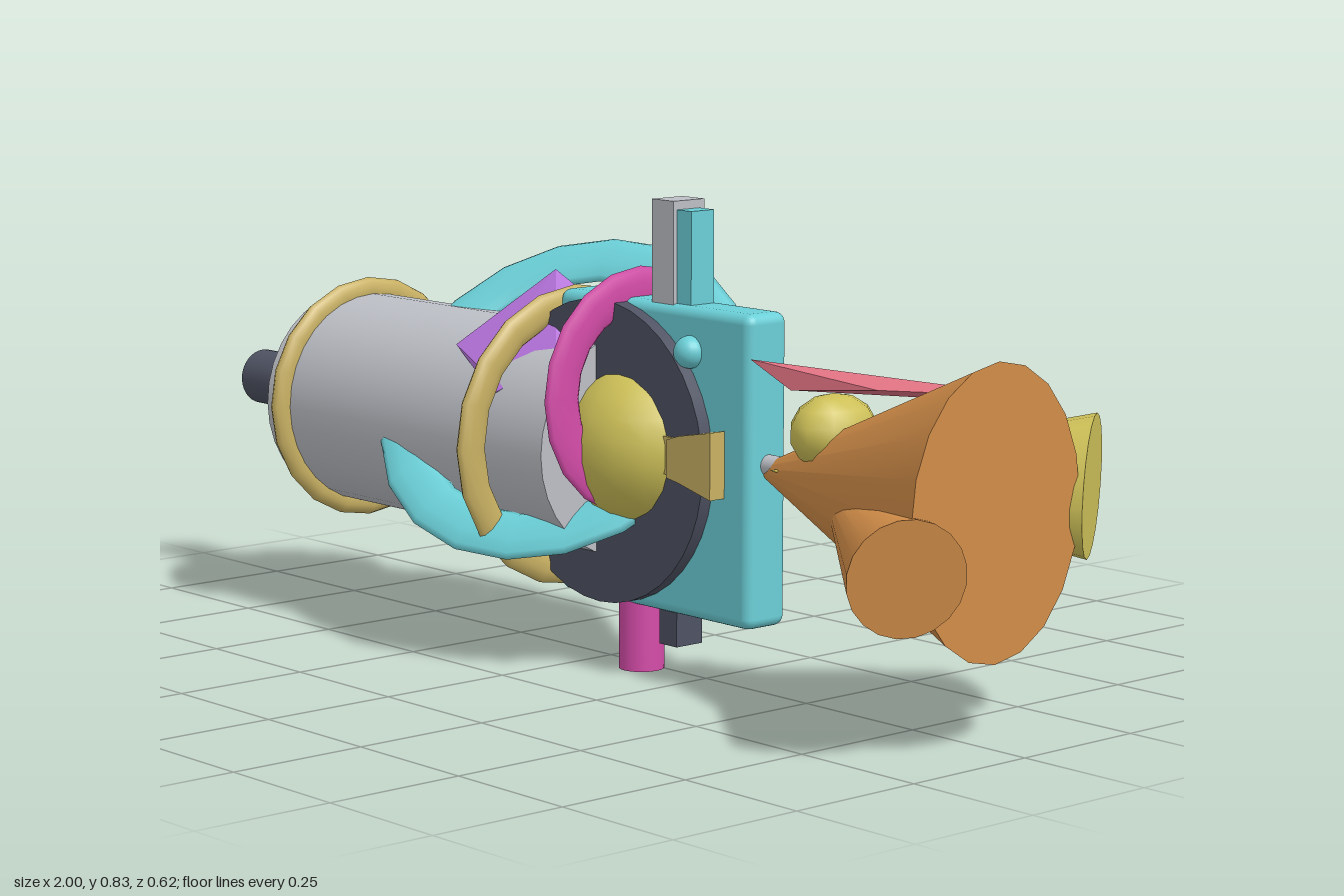
import * as THREE from 'three';
import { RoundedBoxGeometry } from 'three/addons/geometries/RoundedBoxGeometry.js';
import { ConvexGeometry } from 'three/addons/geometries/ConvexGeometry.js';

const V = (x, y, z) => new THREE.Vector3(x, y, z);
const AXIS_Y = 0.39, AXIS_Z = 0.025;

function mat(name, color, flat = false) {
  const m = new THREE.MeshStandardMaterial({ color });
  m.name = name;
  m.flatShading = flat;
  return m;
}

export function createModel() {
  const model = new THREE.Group();
  const teal = mat('teal', 0x6bcfd7);
  const grey = mat('light grey', 0xbcbfc5);
  const dark = mat('slate', 0x4e5262);
  const gold = mat('gold', 0xc9b163);
  const yellow = mat('yellow', 0xcdc058);
  const orange = mat('orange', 0xd08c48);
  const purple = mat('purple', 0xb673dc, true);
  const pink = mat('magenta', 0xd44ca8);
  const salmon = mat('salmon', 0xdc7080, true);

  function add(name, geometry, material, x = 0, y = 0, z = 0) {
    const mesh = new THREE.Mesh(geometry, material);
    mesh.name = name;
    mesh.position.set(x, y, z);
    model.add(mesh);
    return mesh;
  }

  // Box given by its lower and upper corners
  function box(name, material, a, b) {
    return add(name, new THREE.BoxGeometry(b[0] - a[0], b[1] - a[1], b[2] - a[2]), material,
      (a[0] + b[0]) / 2, (a[1] + b[1]) / 2, (a[2] + b[2]) / 2);
  }

  // Cylinder lying along x
  function rod(name, material, x0, x1, r, y = AXIS_Y) {
    const g = new THREE.CylinderGeometry(r, r, x1 - x0, 32).rotateZ(-Math.PI / 2);
    return add(name, g, material, (x0 + x1) / 2, y, AXIS_Z);
  }

  // Flattened ring: outer radius, half band width, half thickness along its axis
  function ring(name, material, centre, outer, band, thin, u = V(0, 1, 0), v = V(0, 0, 1)) {
    const g = new THREE.TorusGeometry(outer - band, band, 10, 20);
    g.scale(1, 1, thin / band);
    u.normalize();
    const n = u.clone().cross(v).normalize();
    const w = n.clone().cross(u);
    g.applyMatrix4(new THREE.Matrix4().makeBasis(u, w, n));
    return add(name, g, material, ...centre);
  }

  // Cone from its tip to the centre of its wide end
  function horn(name, material, tip, end, radius, squash = 1) {
    const dir = end.clone().sub(tip);
    const g = new THREE.ConeGeometry(radius, dir.length(), 20).rotateX(Math.PI);
    g.scale(1, 1, squash);
    const mesh = add(name, g, material);
    mesh.quaternion.setFromUnitVectors(V(0, 1, 0), dir.normalize());
    mesh.position.copy(tip).add(end).multiplyScalar(0.5);
    return mesh;
  }

  function ball(name, material, centre, radii, segments = 20) {
    const g = new THREE.SphereGeometry(1, segments, Math.round(segments * 0.7));
    g.scale(...radii);
    return add(name, g, material, ...centre);
  }

  // Main barrel and its shaft
  rod('shaft', dark, -1, -0.7, 0.052);
  rod('barrel', grey, -0.72, 0.07, 0.195);
  box('shaftFin', gold, [-0.87, 0.305, 0.013], [-0.785, 0.48, 0.037]);
  box('shaftFinRoot', gold, [-0.8, 0.315, 0.016], [-0.715, 0.465, 0.034]);

  // Rings around the barrel
  ring('rearRing', gold, [-0.665, AXIS_Y, AXIS_Z], 0.225, 0.025, 0.016);
  ring('frontRing', gold, [-0.068, AXIS_Y, AXIS_Z], 0.268, 0.03, 0.015);
  ring('pinkRing', pink, [0.108, 0.49, 0.027], 0.217, 0.038, 0.01);
  ring('tiltedRing', teal, [-0.11, 0.455, 0.02], 0.348, 0.048, 0.014, V(0, 1, -1), V(-0.34, 0.06, 0.07));

  // Faceted purple crest over the barrel
  const crest = [V(-0.12, 0.68, 0.025), V(-0.29, 0.58, 0.02), V(-0.01, 0.62, 0.01), V(0.02, 0.55, 0.01)];
  for (const s of [1, -1]) {
    crest.push(V(-0.24, 0.545, AXIS_Z + s * 0.13), V(-0.15, 0.52, AXIS_Z + s * 0.155),
      V(-0.08, 0.48, AXIS_Z + s * 0.178), V(0.01, 0.54, AXIS_Z + s * 0.11));
  }
  add('crest', new ConvexGeometry(crest), purple);

  // Round drum, square plate and hub
  add('drum', new THREE.CylinderGeometry(0.265, 0.265, 0.14, 40).rotateX(Math.PI / 2), dark, 0.078, 0.387, AXIS_Z);
  add('plate', new RoundedBoxGeometry(0.49, 0.535, 0.09, 3, 0.018), teal, 0.185, 0.388, AXIS_Z);
  ball('hub', yellow, [0.13, 0.4, AXIS_Z], [0.15, 0.145, 0.147], 16);
  box('bracketNeck', gold, [0.24, 0.37, -0.05], [0.33, 0.435, 0.1]);
  const bracket = new THREE.Shape([[0.26, 0.365], [0.29, 0.36], [0.37, 0.34], [0.37, 0.455], [0.29, 0.44], [0.26, 0.43]]
    .map(p => new THREE.Vector2(...p)));
  add('bracket', new THREE.ExtrudeGeometry(bracket, { depth: 0.16, bevelEnabled: false }), gold, 0, 0, -0.057);

  // Posts, feet and knobs
  box('greyPost', grey, [0.175, 0.64, -0.01], [0.23, 0.83, 0.06]);
  box('tealPost', teal, [0.228, 0.64, 0], [0.266, 0.815, 0.052]);
  add('pinkFoot', new THREE.CylinderGeometry(0.04, 0.04, 0.15, 24), pink, 0.11, 0.075, AXIS_Z);
  box('darkFoot', dark, [0.19, 0.06, -0.004], [0.235, 0.14, 0.055]);
  ball('frontKnob', teal, [0.285, 0.58, 0.072], [0.028, 0.028, 0.028]);
  ball('backKnob', teal, [0.13, 0.61, -0.04], [0.034, 0.034, 0.034]);

  // Cluster of horns
  rod('hornPin', grey, 0.42, 0.5, 0.018, 0.4);
  horn('largeHorn', orange, V(0.395, AXIS_Y, AXIS_Z), V(0.955, AXIS_Y, AXIS_Z), 0.243, 0.79);
  horn('smallHorn', orange, V(0.5, 0.378, -0.03), V(0.95, 0.31, 0.22), 0.098);
  horn('yellowHorn', yellow, V(0.47, 0.4, 0.06), V(0.92, 0.4, -0.235), 0.125, 0.7);
  ball('hornLump', yellow, [0.58, 0.475, 0.02], [0.064, 0.064, 0.085], 10);
  add('blade', new ConvexGeometry([V(0.475, 0.592, 0.11), V(0.54, 0.545, 0.08), V(0.68, 0.555, 0.02),
    V(0.88, 0.55, -0.15), V(0.85, 0.535, -0.16), V(0.6, 0.56, -0.025)]), salmon);

  return model;
}
